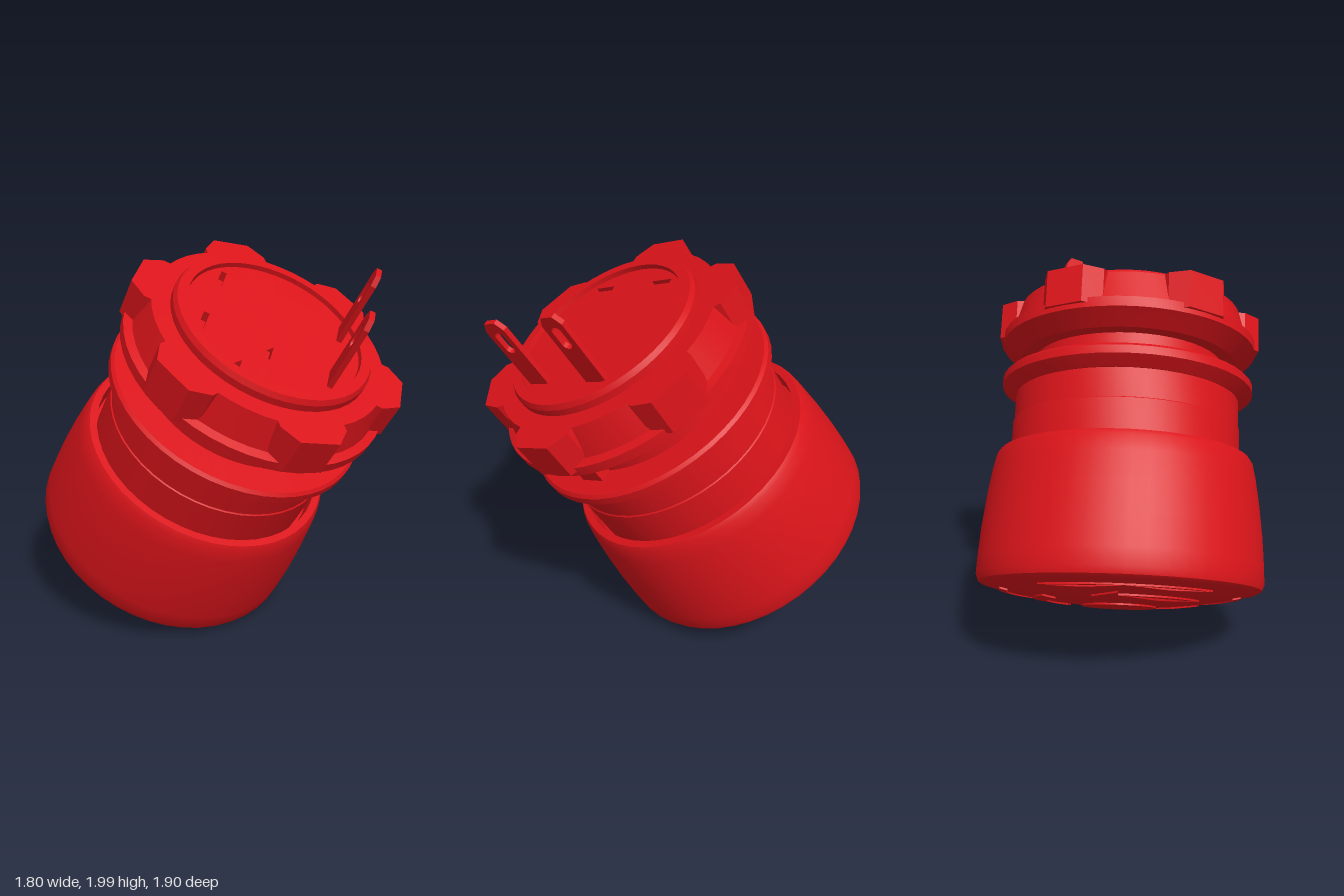
import * as THREE from 'three';
import { toCreasedNormals } from 'three/addons/utils/BufferGeometryUtils.js';

const material = new THREE.MeshStandardMaterial({ color: 0xd9141a });
const SEG = 48;

// Slightly domed underside of the push cap
const dome = r => -0.115 + 0.085 * (r / 0.7) ** 2;

function add(parent, name, geometry) {
  const mesh = new THREE.Mesh(geometry, material);
  mesh.name = name;
  parent.add(mesh);
  return mesh;
}

// Turned part from [radius, height] points, running bottom to top on the outside
function turned(parent, name, points) {
  const lathe = new THREE.LatheGeometry(points.map(([r, y]) => new THREE.Vector2(r, y)), SEG);
  return add(parent, name, toCreasedNormals(lathe, 0.45));
}

// Flat plan shape extruded upwards from y0 to y1
function slab(shape, y0, y1) {
  const g = new THREE.ExtrudeGeometry(shape, { depth: y1 - y0, bevelEnabled: false, curveSegments: SEG });
  return toCreasedNormals(g.rotateX(-Math.PI / 2).translate(0, y0, 0), 0.45);
}

function polygon(points, Type = THREE.Shape) {
  return new Type(points.map(([x, y]) => new THREE.Vector2(x, y)));
}

const rectangle = (x, y, w, h) => polygon(
  [[x - w / 2, y - h / 2], [x - w / 2, y + h / 2], [x + w / 2, y + h / 2], [x + w / 2, y - h / 2]], THREE.Path);

// Curved band, optionally with an arrow head, for the cap markings
function band(r0, r1, start, end, head = 0) {
  const outer = [], inner = [], n = 16;
  for (let i = 0; i <= n; i++) {
    const a = start + (end - start) * i / n;
    outer.push([r1 * Math.cos(a), r1 * Math.sin(a)]);
    inner.unshift([r0 * Math.cos(a), r0 * Math.sin(a)]);
  }
  const tip = [];
  if (head) {
    const m = (r0 + r1) / 2;
    tip.push([(r1 + head) * Math.cos(end), (r1 + head) * Math.sin(end)],
      [m * Math.cos(end + 0.32), m * Math.sin(end + 0.32)],
      [(r0 - head) * Math.cos(end), (r0 - head) * Math.sin(end)]);
  }
  return polygon([...outer, ...tip, ...inner]);
}

// Thin relief that follows the dome of the cap
function marking(parent, name, shape) {
  const g = new THREE.ExtrudeGeometry(shape, { depth: 0.012, bevelEnabled: false, curveSegments: 24 });
  g.rotateX(Math.PI / 2);
  const p = g.attributes.position;
  for (let i = 0; i < p.count; i++) {
    p.setY(i, p.getY(i) + dome(Math.hypot(p.getX(i), p.getZ(i))) + 0.004);
  }
  g.computeVertexNormals();
  add(parent, name, g);
}

export function createModel() {
  const model = new THREE.Group();
  model.name = 'pushButton';
  const body = new THREE.Group();
  body.name = 'tiltedBody';
  model.add(body);

  // Push cap: domed face, flared wall and a recessed lip
  const face = [0, 0.2, 0.4, 0.55, 0.66, 0.7].map(r => [r, dome(r)]);
  turned(body, 'pushCap', [...face, [0.722, -0.018], [0.735, 0.015], [0.733, 0.1], [0.725, 0.25],
    [0.708, 0.42], [0.69, 0.55], [0.675, 0.625], [0.66, 0.65], [0.622, 0.65], [0.618, 0.56], [0, 0.56]]);

  // Markings on the cap face
  const circle = new THREE.Shape();
  circle.absarc(0, 0, 0.19, 0, Math.PI * 2);
  marking(body, 'centreMark', circle);
  for (let i = 0; i < 3; i++) {
    const a = i * Math.PI * 2 / 3;
    marking(body, 'arrowMark', band(0.37, 0.44, a, a + 1.1, 0.05));
    marking(body, 'outerMark', band(0.575, 0.615, a + 0.3, a + 1.75));
  }

  // Neck, panel flange and threaded barrel
  turned(body, 'neck', [[0, 0.54], [0.602, 0.54], [0.602, 0.82], [0.596, 0.825], [0.596, 1], [0, 1]]);
  turned(body, 'flange', [[0, 0.97], [0.6, 0.97], [0.655, 1.005], [0.67, 1.015], [0.67, 1.055],
    [0.655, 1.07], [0.51, 1.07]]);
  turned(body, 'barrel', [[0.508, 1.05], [0.508, 1.495], [0.495, 1.52], [0.445, 1.52], [0.44, 1.4]]);
  add(body, 'locatingKey', new THREE.BoxGeometry(0.13, 0.09, 0.1)).position.set(0, 1.115, 0.52);

  // Locking nut with six grip lugs
  turned(body, 'lockingNut', [[0.5, 1.18], [0.58, 1.18], [0.665, 1.235], [0.682, 1.245], [0.682, 1.295],
    [0.64, 1.305], [0.6, 1.46], [0.5, 1.46]]);
  const lug = slab(polygon([[0.5, -0.17], [0.61, -0.17], [0.695, -0.1], [0.695, 0.1], [0.61, 0.17], [0.5, 0.17]]),
    1.27, 1.46);
  for (let i = 0; i < 6; i++) {
    add(body, 'gripLug', lug).rotation.y = Math.PI / 6 + i * Math.PI / 3;
  }

  // Rear plate with terminal slots and clip openings
  const plate = new THREE.Shape();
  plate.absarc(0, 0, 0.443, 0, Math.PI * 2);
  for (const side of [-1, 1]) {
    for (const y of [0.32, -0.01]) plate.holes.push(rectangle(side * 0.19, y, 0.125, 0.028));
    for (const y of [-0.15, 0.15]) plate.holes.push(rectangle(side * 0.375, y, 0.05, 0.11));
  }
  add(body, 'rearPlate', slab(plate, 1.44, 1.495));
  add(body, 'plateBacking', new THREE.CylinderGeometry(0.443, 0.443, 0.03, SEG)).position.y = 1.43;

  // Two flat terminals with oval eyes
  const blade = polygon([[-0.062, 1.44], [0.062, 1.44], [0.062, 1.84], [0.035, 1.885], [-0.035, 1.885], [-0.062, 1.84]]);
  const eye = new THREE.Path();
  eye.absarc(0, 1.8, 0.028, 0, Math.PI);
  eye.absarc(0, 1.73, 0.028, Math.PI, Math.PI * 2);
  eye.closePath();
  blade.holes.push(eye);
  const bladeGeometry = toCreasedNormals(
    new THREE.ExtrudeGeometry(blade, { depth: 0.026, bevelEnabled: false, curveSegments: 8 }), 0.45);
  for (const side of [-1, 1]) {
    add(body, 'terminal', bladeGeometry).position.set(side * 0.19, 0, 0.31);
  }

  // Lean the whole button so that it rests on the edge of its cap
  const up = new THREE.Vector3(0.31, 0.855, 0.415).normalize();
  const back = new THREE.Vector3(0.344, 0.306, -0.887).cross(up).normalize();
  const across = up.clone().cross(back);
  body.quaternion.setFromRotationMatrix(new THREE.Matrix4().makeBasis(across, up, back));
  body.position.set(-0.195, 0.397, -0.28);
  return model;
}
